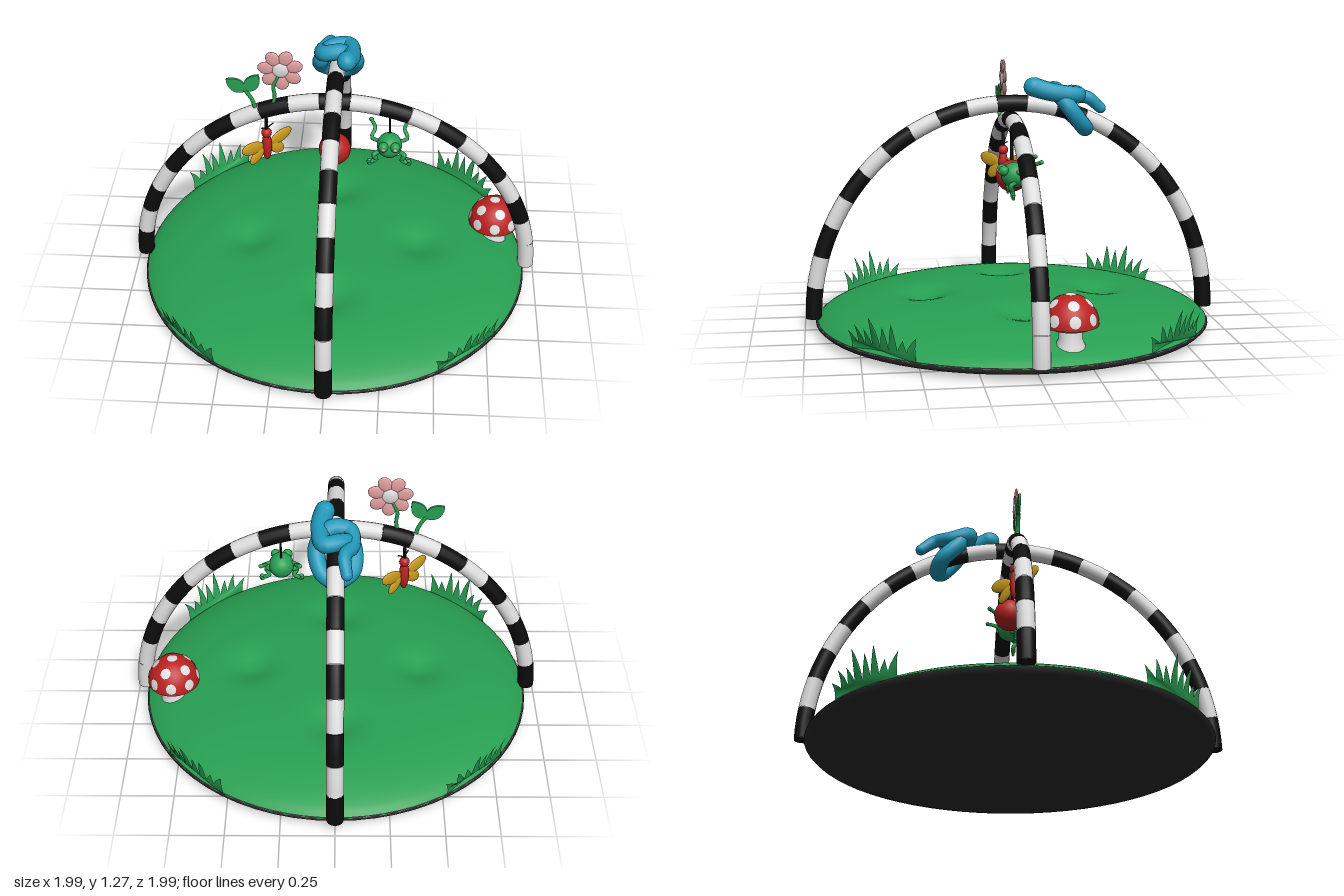
import * as THREE from 'three';

const mat = (name, color) => Object.assign(new THREE.MeshStandardMaterial({ color, side: THREE.DoubleSide }), { name });
const V = (x, y, z) => new THREE.Vector3(x, y, z);

export function createModel() {
  const green = mat('green', 0x27a052), charcoal = mat('charcoal', 0x2b2b2b), black = mat('black', 0x0c0c0c);
  const white = mat('white', 0xdedede), red = mat('red', 0xbb2222), blue = mat('blue', 0x2099bb);
  const pink = mat('pink', 0xe3a0a0), gold = mat('gold', 0xcfa01e);
  const root = new THREE.Group();
  root.name = 'playGym';

  function add(name, geo, material, parent = root, pos = [0, 0, 0], scale = [1, 1, 1]) {
    const m = new THREE.Mesh(geo, material);
    m.name = name;
    m.position.set(...pos);
    m.scale.set(...scale);
    parent.add(m);
    return m;
  }
  function group(name, pos) {
    const g = new THREE.Group();
    g.name = name;
    g.position.set(...pos);
    root.add(g);
    return g;
  }
  const ball = (name, m, parent, pos, radii) => add(name, new THREE.SphereGeometry(1, 20, 14), m, parent, pos, radii);
  const tube = (name, pts, r, m, parent) =>
    add(name, new THREE.TubeGeometry(new THREE.CatmullRomCurve3(pts), 12, r, 8), m, parent);

  // Mat: dark rounded underside
  const rim = [[0, 0], [0.75, 0], [0.88, 0.01], [0.93, 0.025], [0.948, 0.042], [0.94, 0.055], [0.9, 0.058]];
  add('matBase', new THREE.LatheGeometry(rim.map(p => new THREE.Vector2(...p)), 64), charcoal);

  // Mat: padded green top with four soft dimples
  const dome = [];
  for (let i = 0; i <= 40; i++) {
    const t = 1 - i / 40;
    dome.push(new THREE.Vector2(0.943 * t, 0.05 + 0.135 * Math.pow(1 - t ** 3, 0.7)));
  }
  const top = new THREE.LatheGeometry(dome, 80), tp = top.attributes.position;
  for (let i = 0; i < tp.count; i++) {
    let y = tp.getY(i);
    for (const [x, z] of [[0.42, 0], [-0.42, 0], [0, 0.42], [0, -0.42]]) {
      const d2 = (tp.getX(i) - x) ** 2 + (tp.getZ(i) - z) ** 2;
      y -= 0.045 * Math.exp(-d2 / 0.012);
    }
    tp.setY(i, y);
  }
  top.computeVertexNormals();
  add('matTop', top, green);

  // Two crossed, striped arches
  function arch(name, height, turn, lastMaterial) {
    const g = group(name, [0, 0, 0]), n = 21;
    const at = a => V(-0.957 * Math.cos(a), 0.06 + height * Math.sin(a), 0);
    for (let i = 0; i < n; i++) {
      const pts = [0, 1, 2, 3].map(k => at(Math.PI * (i + k / 3) / n));
      const m = i === n - 1 ? lastMaterial : i % 2 ? white : black;
      add('archStripe', new THREE.TubeGeometry(new THREE.CatmullRomCurve3(pts), 3, 0.04, 14), m, g);
    }
    for (const s of [-1, 1])
      add('archCap', new THREE.CircleGeometry(0.04, 14), black, g, [s * 0.957, 0.06, 0]).rotation.x = Math.PI / 2;
    g.rotation.y = turn;
  }
  arch('sideArch', 0.94, 0, white);
  arch('frontArch', 1.02, Math.PI / 2, black);

  // Grass clumps wrapped round the rim at the diagonals
  const blades = [[-0.21, 0.09], [-0.15, 0.13], [-0.09, 0.12], [-0.035, 0.185], [0.03, 0.15], [0.085, 0.17], [0.13, 0.1], [0.2, 0.12]];
  const grassShape = new THREE.Shape();
  grassShape.moveTo(-0.19, 0);
  blades.forEach(([x, h], i) => {
    const x0 = -0.19 + i * 0.0475;
    grassShape.quadraticCurveTo(x0 + 0.004, h * 0.6, x, h);
    grassShape.quadraticCurveTo(x0 + 0.038, h * 0.65, x0 + 0.0475, i === 7 ? 0 : 0.045);
  });
  for (let k = 0; k < 4; k++) {
    const geo = new THREE.ShapeGeometry(grassShape, 4), p = geo.attributes.position;
    for (let i = 0; i < p.count; i++) {
      const a = p.getX(i) / 0.94, y = p.getY(i), r = 0.94 + 1.2 * y * y;
      p.setXYZ(i, r * Math.sin(a), y + 0.045, r * Math.cos(a));
    }
    geo.computeVertexNormals();
    add('grassClump', geo, green).rotation.y = Math.PI * (0.25 + k / 2);
  }

  // Mushroom: stem, gills and spotted cap
  const mushroom = group('mushroom', [0.795, 0, -0.15]);
  const stem = [[0.068, 0.08], [0.066, 0.11], [0.052, 0.14], [0.05, 0.21]];
  add('mushroomStem', new THREE.LatheGeometry(stem.map(p => new THREE.Vector2(...p)), 24), white, mushroom);
  add('mushroomGills', new THREE.CylinderGeometry(0.122, 0.09, 0.015, 28), white, mushroom, [0, 0.193, 0]);
  const cap = new THREE.Group();
  cap.name = 'mushroomCap';
  cap.position.y = 0.2;
  cap.scale.set(0.125, 0.137, 0.125);
  mushroom.add(cap);
  add('capShell', new THREE.SphereGeometry(1, 28, 12, 0, Math.PI * 2, 0, Math.PI / 2), red, cap);
  for (const [count, tilt, offset] of [[1, 0, 0], [5, 0.72, 0.3], [8, 1.28, 0]])
    for (let i = 0; i < count; i++) {
      const dot = add('capSpot', new THREE.SphereGeometry(1.02, 12, 3, 0, Math.PI * 2, 0, 0.2), white, cap);
      dot.rotation.set(tilt, offset + i * Math.PI * 2 / count, 0, 'YXZ');
    }

  // Snake knotted round the arch, thicker towards the head
  const path = new THREE.CatmullRomCurve3([
    V(-0.05, 1.045, -0.44), V(-0.04, 1.1, -0.37), V(-0.075, 1.1, -0.29), V(-0.06, 1.13, -0.21), V(0.02, 1.14, -0.21),
    V(0.085, 1.07, -0.26), V(0.06, 0.98, -0.33), V(0, 0.955, -0.355), V(-0.075, 0.99, -0.33), V(-0.075, 1.08, -0.25),
    V(-0.03, 1.12, -0.29), V(0.05, 1.12, -0.31), V(0.07, 1.13, -0.22), V(0.065, 1.145, -0.15), V(0.05, 1.16, -0.1)]);
  const rings = 90, sides = 12, thick = t => 0.026 + 0.014 * Math.min(1, t * 5) + 0.006 * Math.max(0, t * 5 - 4);
  const snake = new THREE.TubeGeometry(path, rings, 1, sides), sp = snake.attributes.position, v = V(0, 0, 0);
  for (let i = 0; i <= rings; i++) {
    const c = path.getPointAt(i / rings);
    for (let j = 0; j <= sides; j++) {
      const k = i * (sides + 1) + j;
      v.fromBufferAttribute(sp, k).sub(c).multiplyScalar(thick(i / rings)).add(c);
      sp.setXYZ(k, v.x, v.y, v.z);
    }
  }
  add('snakeBody', snake, blue);
  ball('snakeTail', blue, root, path.getPointAt(0).toArray(), [0.026, 0.026, 0.026]);
  ball('snakeHead', blue, root, path.getPointAt(1).toArray(), [0.046, 0.046, 0.05]);

  // Flower and leafy sprout standing on the side arch
  const leafShape = new THREE.Shape();
  leafShape.moveTo(0, 0);
  leafShape.bezierCurveTo(-0.06, 0.03, -0.045, 0.08, 0, 0.11);
  leafShape.bezierCurveTo(0.045, 0.08, 0.06, 0.03, 0, 0);
  const plant = group('flower', [0, 0, 0.01]);
  tube('flowerStem', [V(-0.29, 0.97, 0), V(-0.28, 1.03, 0), V(-0.285, 1.08, 0), V(-0.26, 1.14, 0)], 0.009, green, plant);
  for (let i = 0; i < 7; i++) {
    const a = i * Math.PI * 2 / 7 + 0.3;
    const petal = ball('petal', pink, plant, [-0.25 + 0.067 * Math.cos(a), 1.17 + 0.067 * Math.sin(a), 0], [0.04, 0.033, 0.009]);
    petal.rotation.z = a;
  }
  ball('flowerCentre', white, plant, [-0.25, 1.17, 0], [0.04, 0.04, 0.014]);
  tube('sproutStem', [V(-0.37, 0.94, 0), V(-0.385, 1.0, 0), V(-0.42, 1.06, 0)], 0.01, green, plant);
  for (const a of [0.95, -0.6]) {
    const leaf = new THREE.ExtrudeGeometry(leafShape, { depth: 0.012, bevelEnabled: false });
    add('leaf', leaf, green, plant, [-0.415, 1.05, -0.006], [0.85, 1, 1]).rotation.z = a;
  }

  // Hanging cords
  for (const [x, y0, y1, r] of [[-0.325, 0.8, 0.93, 0.008], [0, 0.78, 1.05, 0.008], [0.26, 0.82, 0.95, 0.005]])
    add('cord', new THREE.CylinderGeometry(r, r, y1 - y0, 8), black, root, [x, (y0 + y1) / 2, 0]);

  // Hanging ball
  ball('redBall', red, root, [0, 0.73, 0], [0.077, 0.077, 0.077]);

  // Butterfly
  const fly = group('butterfly', [-0.325, 0.745, 0]);
  fly.rotation.y = 0.75;
  ball('butterflyBody', red, fly, [0, -0.01, 0], [0.024, 0.08, 0.024]);
  ball('butterflyHead', red, fly, [0, 0.065, 0], [0.025, 0.025, 0.025]);
  for (const s of [-1, 1]) {
    ball('upperWing', gold, fly, [s * 0.085, 0.01, 0], [0.065, 0.035, 0.01]).rotation.z = s * 0.2;
    ball('lowerWing', gold, fly, [s * 0.06, -0.045, 0], [0.05, 0.03, 0.01]).rotation.z = -s * 0.7;
    tube('antenna', [V(0, 0.08, 0), V(s * 0.015, 0.1, 0.005), V(s * 0.035, 0.11, 0.01)], 0.003, black, fly);
  }

  // Frog
  const frog = group('frog', [0.26, 0.775, 0.02]);
  ball('frogBody', green, frog, [0, 0, 0], [0.06, 0.06, 0.065]);
  for (const s of [-1, 1]) {
    ball('frogEye', green, frog, [s * 0.028, 0.025, 0.055], [0.024, 0.024, 0.024]);
    ball('frogPupil', pink, frog, [s * 0.028, 0.022, 0.074], [0.01, 0.01, 0.008]);
    tube('frogArm', [V(s * 0.04, 0.02, 0), V(s * 0.085, 0.02, -0.03), V(s * 0.07, 0.05, -0.07), V(s * 0.09, 0.07, -0.11)], 0.009, green, frog);
    tube('frogLeg', [V(s * 0.035, -0.03, 0), V(s * 0.075, -0.04, 0.03), V(s * 0.06, -0.07, 0.02), V(s * 0.085, -0.085, 0.02)], 0.011, green, frog);
    for (const a of [-0.7, 0, 0.7])
      ball('frogToe', green, frog, [s * (0.085 + 0.012 * Math.cos(a)), -0.085 + 0.015 * Math.sin(a), 0.02], [0.011, 0.008, 0.008]);
    ball('frogHand', green, frog, [s * 0.09, 0.07, -0.11], [0.012, 0.01, 0.01]);
  }
  return root;
}
